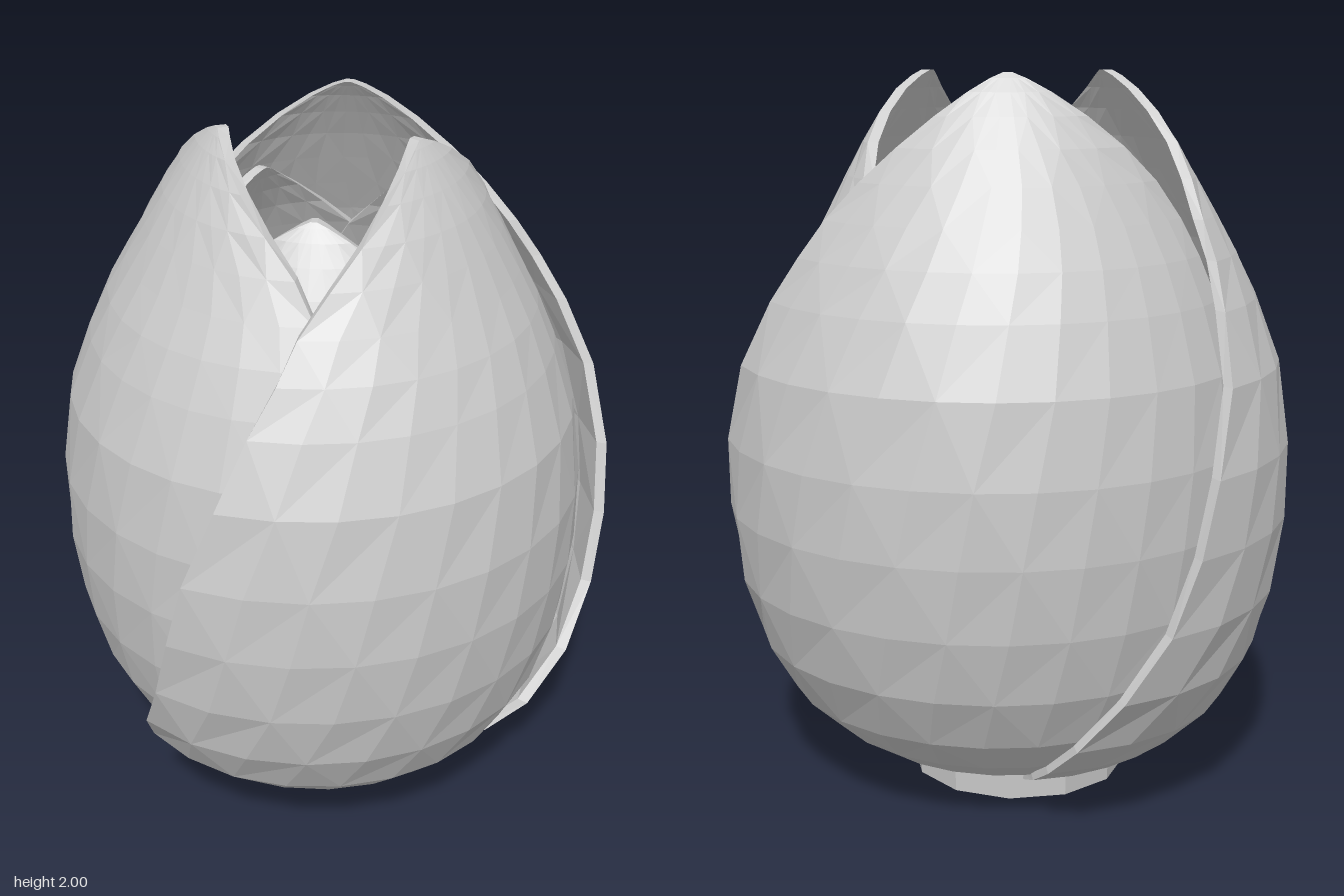
import * as THREE from 'three';

// Petal cross-sections: height, radius, outer edge angle, tucked edge angle (degrees from the petal centre)
const ROWS = [
  [0.06, 0.29, -112, 70], [0.11, 0.40, -110, 68], [0.17, 0.49, -107, 66], [0.27, 0.59, -102, 65],
  [0.42, 0.67, -94, 65], [0.60, 0.72, -86, 65], [0.80, 0.745, -81, 66], [1.00, 0.745, -77, 68],
  [1.22, 0.715, -71, 70], [1.40, 0.65, -66, 70], [1.52, 0.595, -61, 69], [1.62, 0.54, -57, 67],
  [1.72, 0.485, -49, 60], [1.81, 0.435, -39, 48], [1.89, 0.385, -28, 34], [1.95, 0.345, -17, 20],
  [1.985, 0.318, -8, 9], [2.0, 0.305, -2, 2],
];
const COLS = 12;

const material = () => new THREE.MeshStandardMaterial({ color: 0xcccccc, flatShading: true, side: THREE.DoubleSide });

// A thick petal: each row is a closed loop, out along the outer face and back along the inner one
function petalGeometry({ width = 1, height = 1, skew = 1, thickness = 0.03, symmetric = false }) {
  const pos = [], index = [], n = 2 * (COLS + 1);
  for (const [y, r, lo, hi] of ROWS) {
    const from = symmetric ? -hi : lo;
    for (let k = 0; k < n; k++) {
      const inner = k > COLS;
      const t = (inner ? n - 1 - k : k) / COLS;
      const deg = from + (hi - from) * t;
      // the leading edge flares outward, the other tucks under its neighbour
      const s = THREE.MathUtils.clamp(deg / 70, -1.1, 1);
      const flare = 1 - skew * s * (s > 0 ? 0.09 : 0.075);
      const radius = r * width * flare - (inner ? thickness : 0);
      const a = THREE.MathUtils.degToRad(deg);
      pos.push(radius * Math.sin(a), y * height + (inner ? thickness * 0.3 * (1 - y / 2) : 0), radius * Math.cos(a));
    }
  }
  for (let i = 0; i < ROWS.length - 1; i++) {
    for (let k = 0; k < n; k++) {
      const a = i * n + k, b = i * n + (k + 1) % n, c = a + n, d = b + n;
      // alternate the diagonal for an uneven faceted surface
      if ((i + k) % 2) index.push(a, b, d, a, d, c);
      else index.push(a, b, c, b, d, c);
    }
  }
  // close the tip and the foot
  const top = (ROWS.length - 1) * n;
  for (let k = 0; k < COLS; k++) {
    const j = n - 1 - k;
    index.push(top + k, top + k + 1, top + j, top + k + 1, top + j - 1, top + j);
    index.push(k, j, k + 1, k + 1, j, j - 1);
  }
  const g = new THREE.BufferGeometry();
  g.setAttribute('position', new THREE.Float32BufferAttribute(pos, 3));
  g.setIndex(index);
  g.computeVertexNormals();
  return g;
}

// Three copies around the stem axis
function whorl(name, geometry, startDegrees) {
  const group = new THREE.Group();
  group.name = name + 's';
  for (let i = 0; i < 3; i++) {
    const petal = new THREE.Mesh(geometry, material());
    petal.name = name;
    petal.rotation.y = THREE.MathUtils.degToRad(startDegrees + i * 120);
    group.add(petal);
  }
  return group;
}

export function createModel() {
  const model = new THREE.Group();
  model.name = 'tulipBud';

  model.add(whorl('outerPetal', petalGeometry({}), 62));
  model.add(whorl('innerPetal', petalGeometry({ width: 0.83, height: 0.9, skew: 0.35, symmetric: true }), 4));

  // Rounded core inside the petals
  const core = new THREE.Mesh(new THREE.SphereGeometry(0.5, 24, 16), material());
  core.name = 'core';
  core.material.flatShading = false;
  core.scale.y = 1.15;
  core.position.y = 0.8;
  model.add(core);

  // Hollow collar at the foot
  const profile = [[0.22, 0.12], [0.22, 0], [0.31, 0], [0.315, 0.1], [0.22, 0.12]].map(p => new THREE.Vector2(...p));
  const collar = new THREE.Mesh(new THREE.LatheGeometry(profile, 12), material());
  collar.name = 'collar';
  collar.position.x = -0.015;
  model.add(collar);

  // Floor closing the collar
  const floor = new THREE.Mesh(new THREE.CylinderGeometry(0.28, 0.28, 0.02, 12), material());
  floor.name = 'collarFloor';
  floor.position.set(-0.015, 0.11, 0);
  model.add(floor);

  return model;
}
